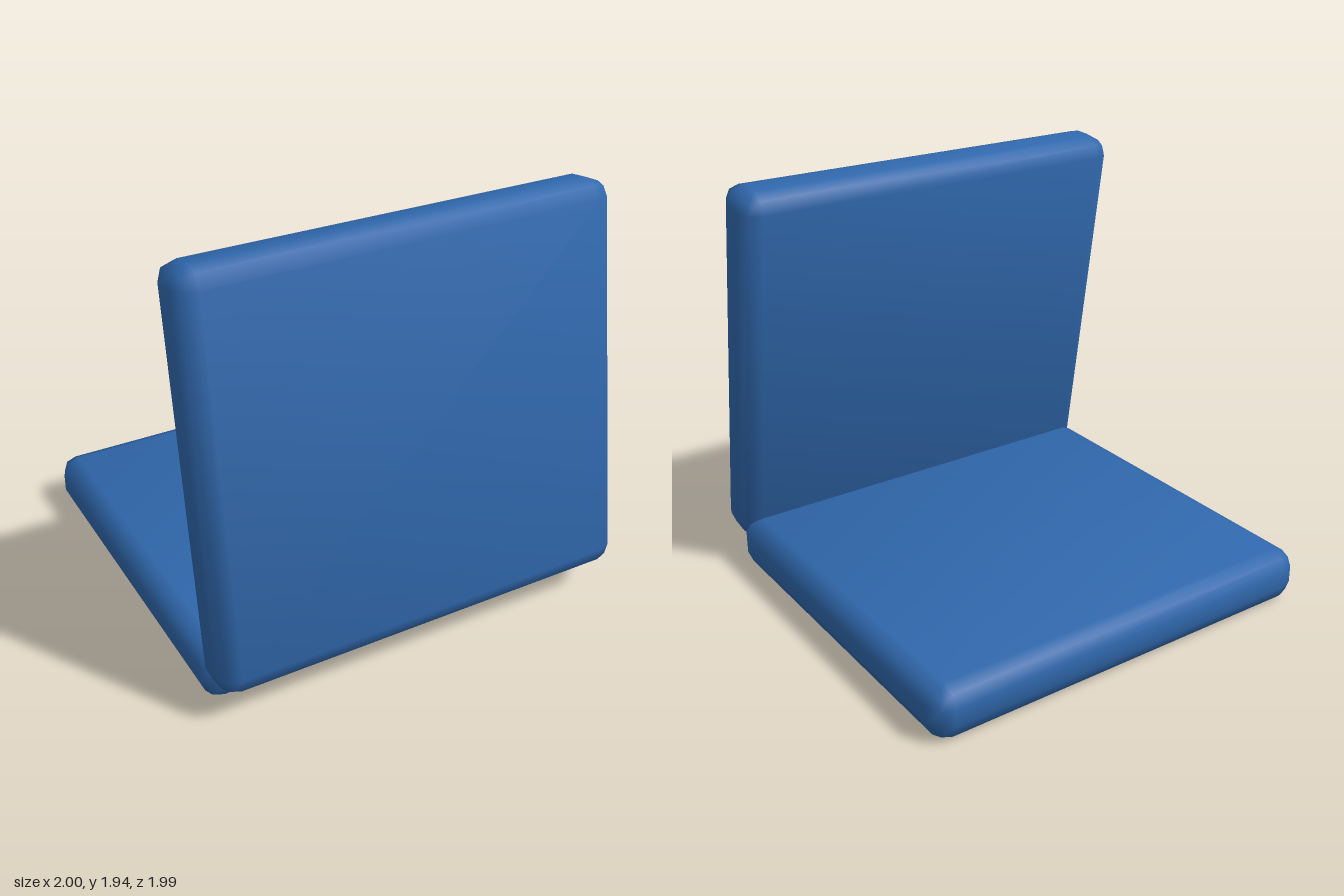
import * as THREE from 'three';
import { RoundedBoxGeometry } from 'three/addons/geometries/RoundedBoxGeometry.js';

const RADIUS = 0.085;
const blue = new THREE.MeshStandardMaterial({ color: 0x3068ad });

// Soft slab with two-step rounded edges; normals lean outwards for a pillowy look
function cushion(name, width, height, depth) {
  const geometry = new RoundedBoxGeometry(width, height, depth, 1, RADIUS);
  const position = geometry.attributes.position;
  const normal = geometry.attributes.normal;
  const p = new THREE.Vector3();
  const n = new THREE.Vector3();
  for (let i = 0; i < position.count; i++) {
    p.fromBufferAttribute(position, i);
    n.fromBufferAttribute(normal, i);
    for (const axis of ['x', 'y', 'z']) {
      if (Math.abs(n[axis]) < 0.01) n[axis] = 0.19 * Math.sign(p[axis]);
    }
    n.normalize();
    normal.setXYZ(i, n.x, n.y, n.z);
  }
  const mesh = new THREE.Mesh(geometry, blue);
  mesh.name = name;
  return mesh;
}

export function createModel() {
  const model = new THREE.Group();
  model.name = 'cushionSeat';

  // Seat cushion lying flat
  const seat = cushion('seatCushion', 2, 0.25, 1.82);
  seat.position.set(0, 0.125, -0.083);

  // Upright cushion, leaning over the seat
  const back = cushion('backCushion', 2, 1.815, 0.265);
  back.position.set(0, 1.035, 0.735);
  back.rotation.x = THREE.MathUtils.degToRad(-9);

  model.add(seat, back);
  return model;
}
